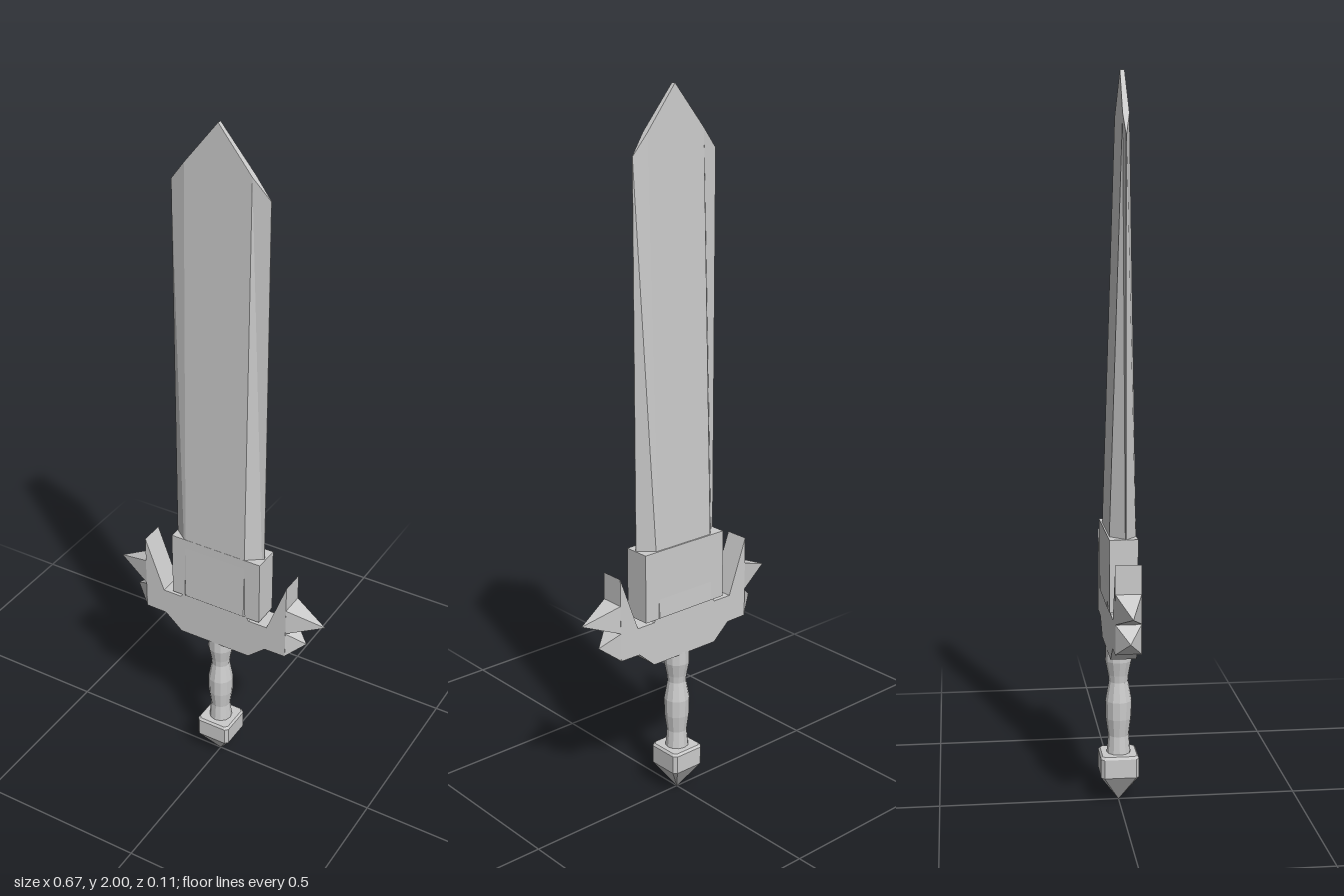
import * as THREE from 'three';

const material = new THREE.MeshStandardMaterial({ color: 0xcccccc, flatShading: true });

function part(name, geometry, x = 0, y = 0, z = 0) {
  const mesh = new THREE.Mesh(geometry, material);
  mesh.name = name;
  mesh.position.set(x, y, z);
  return mesh;
}

// Joins equal-sized rings of points (counter-clockwise seen from the far end) and caps both ends
function loft(rings) {
  const n = rings[0].length;
  const last = (rings.length - 1) * n;
  const index = [];
  for (let r = 0; r < last; r += n) {
    for (let i = 0; i < n; i++) {
      const a = r + i, b = r + (i + 1) % n;
      index.push(a, b, b + n, a, b + n, a + n);
    }
  }
  for (let i = 1; i < n - 1; i++) {
    index.push(0, i + 1, i, last, last + i, last + i + 1);
  }
  const geometry = new THREE.BufferGeometry();
  geometry.setAttribute('position', new THREE.Float32BufferAttribute(rings.flat(2), 3));
  geometry.setIndex(index);
  const flat = geometry.toNonIndexed();
  flat.computeVertexNormals();
  return flat;
}

// Blade: bevelled slab, thinning towards a pointed slanted end
function bladeGeometry() {
  const base = 0.58, tip = 2;
  const columns = [[-0.138, 0], [-0.093, 1], [0.002, 1], [0.097, 1], [0.143, 0]];
  return loft(columns.map(([x, full]) => {
    const top = tip - 1.22 * Math.abs(x - 0.002);
    const corner = (y, side) => {
      const t = (y - 0.775) / (tip - 0.775);
      const half = full ? THREE.MathUtils.lerp(0.036, 0.006, t) : 0.0008;
      const middle = full ? THREE.MathUtils.lerp(0.001, 0.01, t) : 0.005;
      return [x, y, middle + side * half];
    };
    return [corner(top, -1), corner(top, 1), corner(base, 1), corner(base, -1)];
  }));
}

// Guard: one mirrored outline with an upright horn at each end
function guardGeometry() {
  const half = [
    [0.112, 0.44], [0.165, 0.487], [0.23, 0.488], [0.23, 0.728],
    [0.17, 0.567], [0.112, 0.567], [0.104, 0.578],
  ];
  const mirrored = half.map(([x, y]) => [-x, y]).reverse();
  const outline = [...half, ...mirrored].map(([x, y]) => new THREE.Vector2(x, y));
  const geometry = new THREE.ExtrudeGeometry(new THREE.Shape(outline), { depth: 0.07, bevelEnabled: false });
  return geometry.translate(0, 0, -0.034);
}

// Four-sided spike pointing sideways
function spikeGeometry(side, length) {
  return new THREE.ConeGeometry(Math.SQRT1_2, 1, 4, 1)
    .rotateY(Math.PI / 4)
    .translate(0, 0.5, 0)
    .rotateZ(-side * Math.PI / 2)
    .scale(length, 0.081, 0.07);
}

// Pommel: square block with clipped corners, pointed below
function pommelGeometry() {
  const sections = [[0, 0.0005], [0.08, 0.053], [0.133, 0.053], [0.14, 0.048]];
  return loft(sections.map(([y, r]) => {
    const c = r * 0.83;
    return [[r, c], [c, r], [-c, r], [-r, c], [-r, -c], [-c, -r], [c, -r], [r, -c]]
      .map(([x, z]) => [x, y, -z]);
  }));
}

export function createModel() {
  const sword = new THREE.Group();
  sword.name = 'sword';

  sword.add(part('blade', bladeGeometry()));
  sword.add(part('bladeCollar', new THREE.BoxGeometry(0.284, 0.198, 0.077), 0.004, 0.676, -0.001));

  const guard = new THREE.Group();
  guard.name = 'guard';
  guard.add(part('guardBody', guardGeometry()));
  for (const side of [-1, 1]) {
    const label = side > 0 ? 'left' : 'right';
    guard.add(part(label + 'UpperSpike', spikeGeometry(side, 0.107), side * 0.229, 0.61, 0.001));
    guard.add(part(label + 'LowerSpike', spikeGeometry(side, 0.051), side * 0.229, 0.529, 0.001));
  }
  sword.add(guard);

  // Grip: turned handle with a swollen middle
  const profile = [
    [0.034, 0.135], [0.029, 0.19], [0.036, 0.24], [0.037, 0.29],
    [0.027, 0.345], [0.029, 0.365], [0.037, 0.405], [0.036, 0.445],
  ].map(([r, y]) => new THREE.Vector2(r, y));
  sword.add(part('grip', new THREE.LatheGeometry(profile, 12)));
  sword.add(part('pommel', pommelGeometry()));
  return sword;
}
